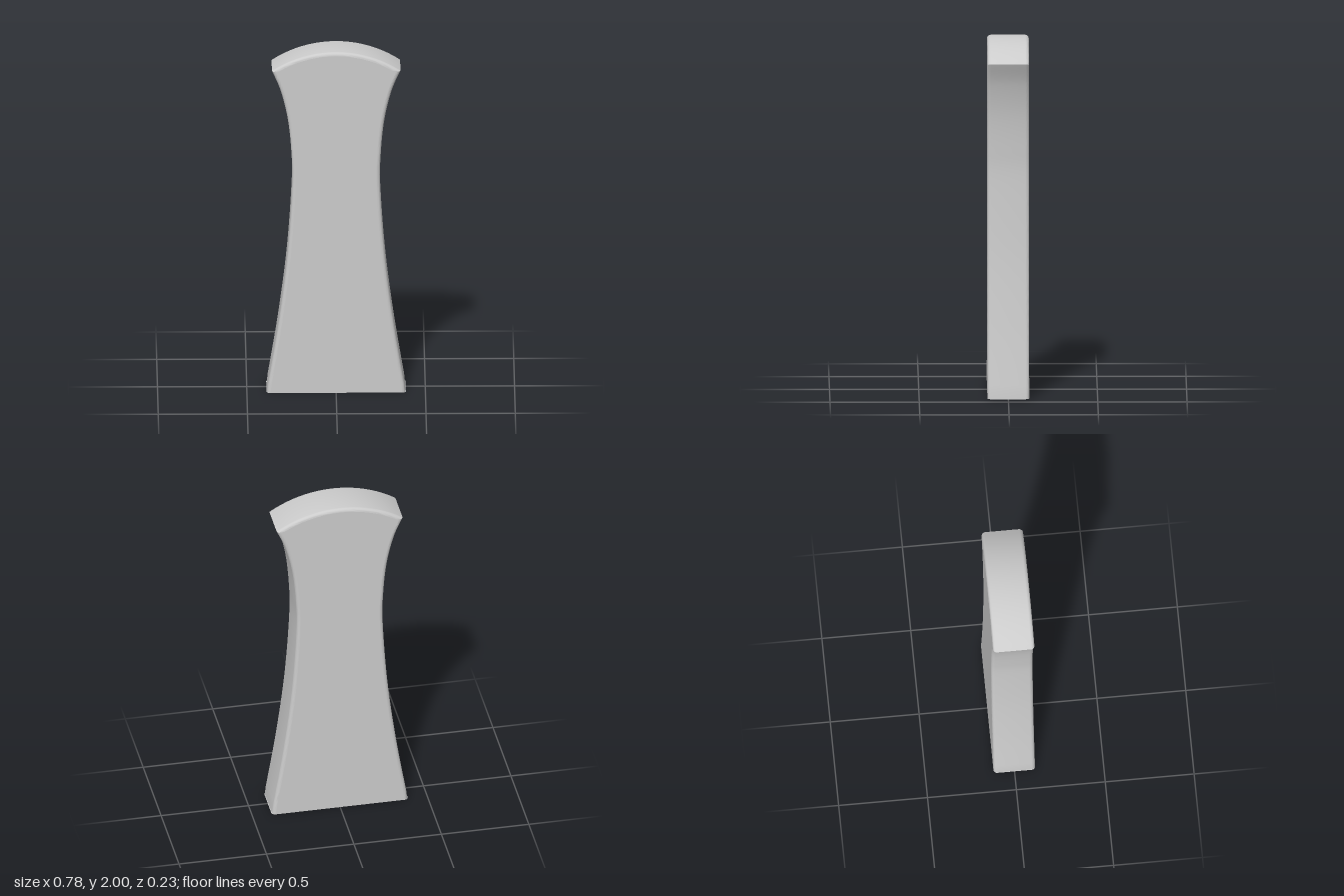
import * as THREE from 'three';
import { toCreasedNormals } from 'three/addons/utils/BufferGeometryUtils.js';

const HALF_DEPTH = 0.117;
const BEVEL = 0.02;

// Half-width of the waisted side at increasing heights
const SIDE = [[0.39, 0], [0.324, 0.4], [0.274, 0.8], [0.247, 1.2], [0.25, 1.4], [0.27, 1.6], [0.31, 1.77], [0.36, 1.89]];

function createOutline() {
  const right = SIDE.map(([x, y]) => new THREE.Vector2(x, y));
  const left = SIDE.map(([x, y]) => new THREE.Vector2(-x, y)).reverse();
  const [topX, topY] = SIDE[SIDE.length - 1];
  const sagitta = 2 - topY;
  const radius = (topX * topX + sagitta * sagitta) / (2 * sagitta);
  const half = Math.asin(topX / radius);

  const shape = new THREE.Shape();
  shape.moveTo(right[0].x, right[0].y);
  shape.splineThru(right.slice(1));
  // Domed crown
  shape.absarc(0, 2 - radius, radius, Math.PI / 2 - half, Math.PI / 2 + half, false);
  shape.splineThru(left.slice(1));
  shape.closePath();
  return shape;
}

function createBodyGeometry() {
  const raw = new THREE.ExtrudeGeometry(createOutline(), {
    depth: 2 * (HALF_DEPTH - BEVEL),
    curveSegments: 10,
    bevelEnabled: true,
    bevelThickness: BEVEL,
    bevelSize: BEVEL,
    bevelOffset: -BEVEL,
    bevelSegments: 5,
  });
  raw.translate(0, 0, BEVEL - HALF_DEPTH);

  // Flatten the lower bevel so the base is a plain cut
  const p = raw.attributes.position;
  for (let i = 0; i < p.count; i++) {
    if (p.getY(i) < BEVEL + 0.002) p.setY(i, 0);
  }

  // Smooth rounded edges, with truly flat front and back faces
  const geometry = toCreasedNormals(raw, 0.6);
  const pos = geometry.attributes.position;
  const normal = geometry.attributes.normal;
  for (let i = 0; i < pos.count; i += 3) {
    const corners = [i, i + 1, i + 2];
    if (corners.every((k) => Math.abs(pos.getZ(k)) > HALF_DEPTH - 1e-4)) {
      corners.forEach((k) => normal.setXYZ(k, 0, 0, Math.sign(pos.getZ(k))));
    }
  }
  return geometry;
}

export function createModel() {
  const group = new THREE.Group();
  group.name = 'wedgeHead';
  const body = new THREE.Mesh(createBodyGeometry(), new THREE.MeshStandardMaterial({ color: 0xcccccc }));
  body.name = 'waistedBody';
  group.add(body);
  return group;
}
